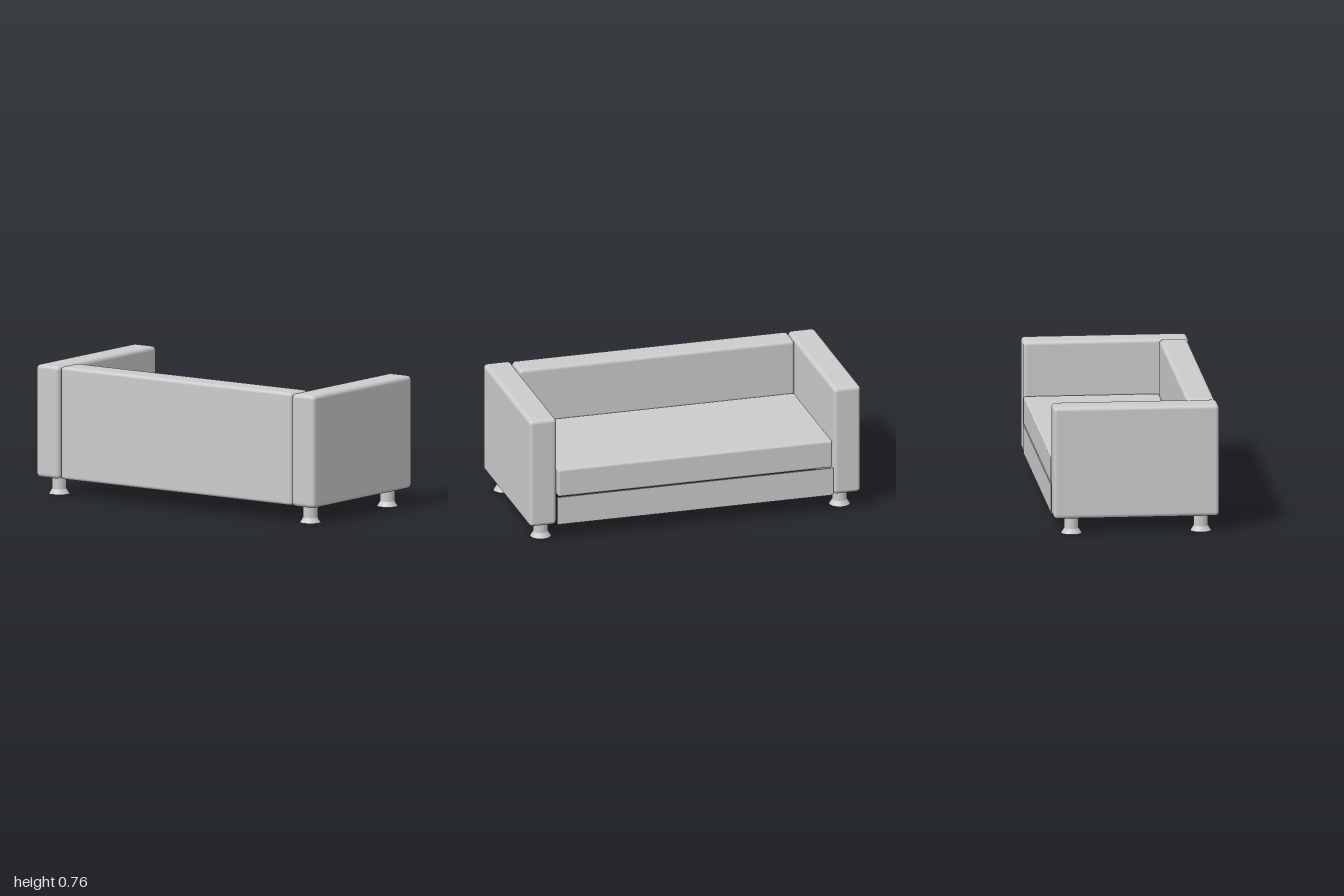
import * as THREE from 'three';
import { RoundedBoxGeometry } from 'three/addons/geometries/RoundedBoxGeometry.js';

const material = new THREE.MeshStandardMaterial({ color: 0xcccccc });

// Softly rounded block given by its min and max corners
function block(name, min, max, radius) {
  const size = max.map((v, i) => v - min[i]);
  const mesh = new THREE.Mesh(new RoundedBoxGeometry(...size, 4, radius), material);
  mesh.name = name;
  mesh.position.set(...max.map((v, i) => (v + min[i]) / 2));
  return mesh;
}

// Straight round foot with a flared base
function footGeometry() {
  const straight = new THREE.CylinderGeometry(0.043, 0.043, 0.08, 32, 1, true).translate(0, 0.07, 0);
  const flare = new THREE.LatheGeometry(
    [[0, 0], [0.061, 0], [0.061, 0], [0.052, 0.014], [0.043, 0.03]].map(p => new THREE.Vector2(...p)), 32);
  return [straight, flare];
}

export function createModel() {
  const sofa = new THREE.Group();
  sofa.name = 'sofa';

  // Backrest on the +z side, seat opening towards -z
  sofa.add(block('backrest', [-0.831, 0.1, 0.308], [0.831, 0.76, 0.472], 0.02));
  sofa.add(block('seatCushion', [-0.828, 0.27, -0.482], [0.828, 0.44, 0.308], 0.014));

  // Thin rail closing the hollow under the seat
  const rail = new THREE.Mesh(new THREE.BoxGeometry(1.664, 0.168, 0.008), material);
  rail.name = 'seatRail';
  rail.position.set(0, 0.184, -0.477);
  sofa.add(rail);

  // Arms and feet, mirrored
  const [straight, flare] = footGeometry();
  for (const side of [-1, 1]) {
    const xs = [side * 0.836, side].sort((a, b) => a - b);
    sofa.add(block(side > 0 ? 'leftArm' : 'rightArm', [xs[0], 0.1, -0.482], [xs[1], 0.76, 0.482], 0.024));
    for (const z of [0.383, -0.37]) {
      const foot = new THREE.Group();
      foot.name = 'foot';
      foot.add(new THREE.Mesh(straight, material), new THREE.Mesh(flare, material));
      foot.children[0].name = 'footPost';
      foot.children[1].name = 'footFlare';
      foot.position.set(side * 0.902, 0, z);
      sofa.add(foot);
    }
  }
  return sofa;
}
